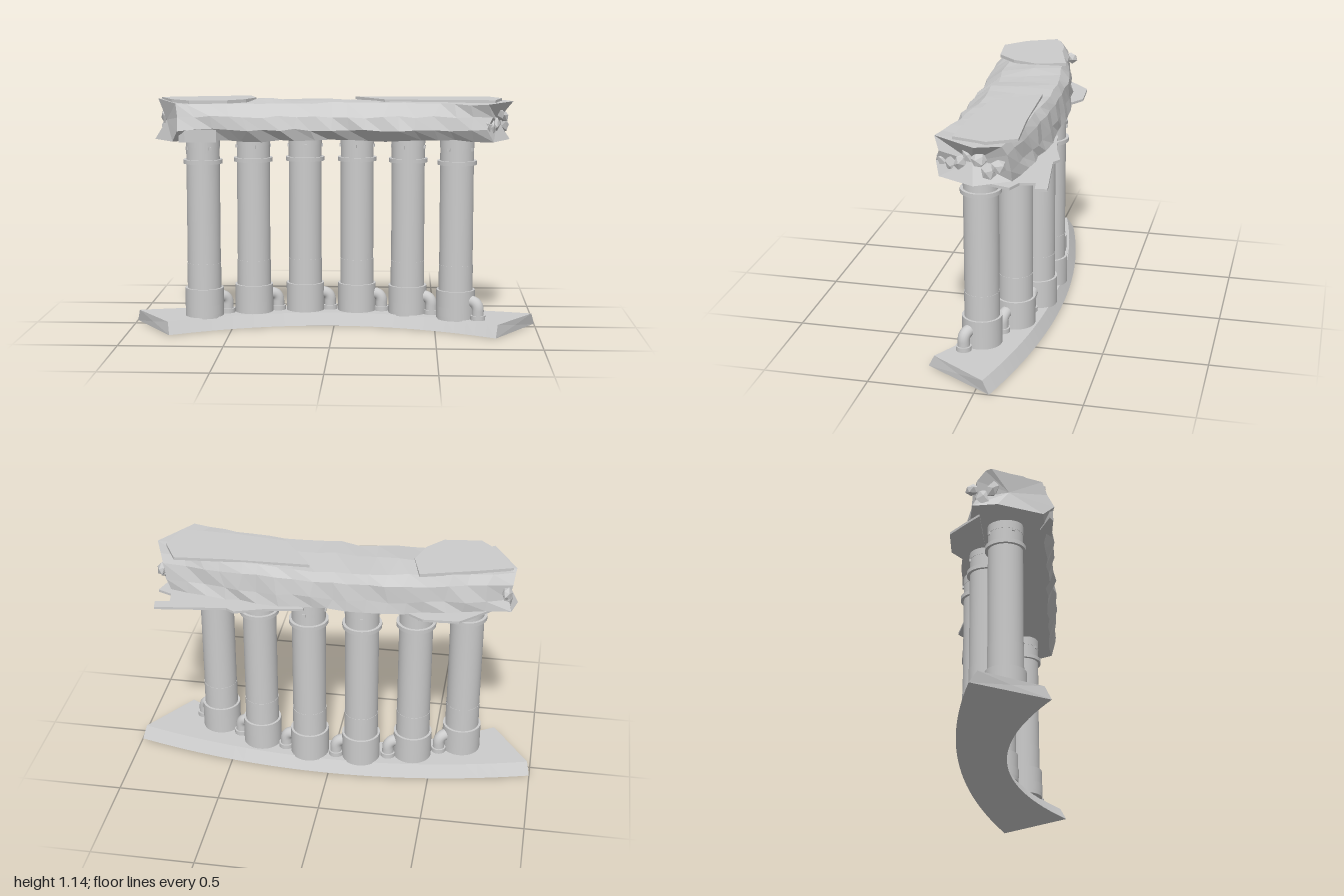
import * as THREE from 'three';

const grey = new THREE.MeshStandardMaterial({ color: 0xcccccc });
const rough = new THREE.MeshStandardMaterial({ color: 0xcccccc, flatShading: true, side: THREE.DoubleSide });

function add(parent, name, geometry, material = grey) {
  const mesh = new THREE.Mesh(geometry, material);
  mesh.name = name;
  parent.add(mesh);
  return mesh;
}

function seeded(seed) {
  return () => {
    seed = (seed * 16807) % 2147483647;
    return seed / 2147483647 - 0.5;
  };
}

// Skin over closed rings of [x, y, z] that advance along +x, with fan caps
function loft(rings) {
  const n = rings[0].length;
  const points = rings.flat();
  const index = [];
  for (let i = 0; i < rings.length - 1; i++) {
    for (let j = 0; j < n; j++) {
      const a = i * n + j, b = i * n + (j + 1) % n;
      index.push(a, a + n, b, b, a + n, b + n);
    }
  }
  for (const end of [0, rings.length - 1]) {
    const ring = rings[end];
    const middle = [0, 1, 2].map(k => ring.reduce((sum, p) => sum + p[k], 0) / n);
    const c = points.push(middle) - 1;
    for (let j = 0; j < n; j++) {
      const a = end * n + j, b = end * n + (j + 1) % n;
      index.push(...(end ? [c, b, a] : [c, a, b]));
    }
  }
  const geometry = new THREE.BufferGeometry();
  geometry.setAttribute('position', new THREE.Float32BufferAttribute(points.flat(), 3));
  geometry.setIndex(index);
  const flat = geometry.toNonIndexed();
  flat.computeVertexNormals();
  return flat;
}

// Curved plinth with sloping front and back
function plinth() {
  const rings = [];
  for (let i = 0; i <= 32; i++) {
    const t = i / 16 - 1;
    const front = 0.02 + 0.25 * t * t, back = -0.21 + 0.14 * t * t;
    rings.push([
      [0.79 * t, 0, front], [0.8 * t, 0.06, front - 0.03],
      [0.985 * t, 0.06, back + 0.035], [t, 0, back],
    ]);
  }
  return loft(rings);
}

// One column, its local +z facing the inside of the curve
function column() {
  const group = new THREE.Group();
  const drum = (name, r, y0, y1) =>
    add(group, name, new THREE.CylinderGeometry(r, r, y1 - y0, 40)).position.y = (y0 + y1) / 2;
  drum('columnFoot', 0.095, 0.055, 0.2);
  drum('lowerShaft', 0.0835, 0.2, 0.325);
  drum('upperShaft', 0.082, 0.325, 0.9);
  drum('columnRing', 0.096, 0.818, 0.838);
  drum('columnHead', 0.0835, 0.9, 0.96);

  // Small studs below the head
  for (let k = 0; k < 4; k++) {
    const a = k * Math.PI / 2;
    const stud = add(group, 'stud', new THREE.BoxGeometry(0.014, 0.016, 0.01));
    stud.position.set(0.083 * Math.sin(a), 0.895, 0.083 * Math.cos(a));
    stud.rotation.y = a;
  }

  // Curved access plate on the foot
  const plate = add(group, 'footPlate',
    new THREE.CylinderGeometry(0.098, 0.098, 0.045, 12, 1, true, -0.5, 1.0),
    new THREE.MeshStandardMaterial({ color: 0xcccccc, side: THREE.DoubleSide }));
  plate.position.y = 0.098;

  // Elbow pipe rising from the plinth into the foot
  const path = new THREE.CurvePath();
  const v = (x, y) => new THREE.Vector3(x, y, 0);
  path.add(new THREE.LineCurve3(v(0.125, 0.055), v(0.125, 0.105)));
  path.add(new THREE.QuadraticBezierCurve3(v(0.125, 0.105), v(0.125, 0.145), v(0.085, 0.147)));
  path.add(new THREE.LineCurve3(v(0.085, 0.147), v(0.05, 0.147)));
  add(group, 'elbowPipe', new THREE.TubeGeometry(path, 24, 0.029, 16));
  const flange = add(group, 'pipeFlange', new THREE.CylinderGeometry(0.037, 0.037, 0.025, 20));
  flange.position.set(0.125, 0.07, 0);
  return group;
}

// Broken stone beam: a straight front, bowed back and slanting ragged ends
function beam() {
  const rand = seeded(77);
  const rings = [];
  const count = 18;
  for (let i = 0; i <= count; i++) {
    const x = -0.88 + 1.74 * i / count;
    const front = 0.26 - 0.028 * x;
    const back = -0.2 + (x < 0 ? 0.17 : 0.09) * x * x;
    const lip = 0.15 + 0.1 * x * x;
    const profile = [
      [front - 0.035, 0.945], [front, 1.0], [front - 0.02, 1.06], [lip, 1.122],
      [0.02, 1.13], [back + 0.05, 1.122], [back + 0.02, 1.08], [back + 0.01, 1.0],
      [back, 0.945], [0.03, 0.94],
    ];
    rings.push(profile.map(([z, y]) => {
      const taper = 1 - 0.65 * Math.max(z - 0.02, 0) - 0.6 * Math.max(-z, 0);
      return [x * taper + 0.03 * rand(), y + 0.012 * rand(), z + 0.022 * rand()];
    }));
  }
  return loft(rings);
}

// Flat flake from an outline of [x, z] corners, its top at height y
function flake(parent, name, y, thickness, outline) {
  const shape = new THREE.Shape(outline.map(([x, z]) => new THREE.Vector2(x, z)));
  const geometry = new THREE.ExtrudeGeometry(shape, { depth: thickness, bevelEnabled: false });
  geometry.rotateX(Math.PI / 2);
  add(parent, name, geometry, rough).position.y = y;
}

export function createModel() {
  const model = new THREE.Group();
  model.name = 'colonnade';
  add(model, 'plinth', plinth(), rough);

  // Six columns along an arc
  for (let i = 0; i < 6; i++) {
    const angle = (i - 2.5) * 0.212;
    const pillar = column();
    pillar.name = 'column';
    pillar.position.set(-0.02 + 1.23 * Math.sin(angle), 0, 1.12 - 1.23 * Math.cos(angle));
    pillar.rotation.y = -angle;
    model.add(pillar);
  }

  const stone = new THREE.Group();
  stone.name = 'brokenBeam';
  model.add(stone);
  add(stone, 'beamBody', beam(), rough);

  // Thin flakes split off the underside and top
  flake(stone, 'backRightFlake', 0.94, 0.012, [[0.1, -0.1], [0.12, -0.2], [0.3, -0.23],
    [0.44, -0.275], [0.48, -0.25], [0.82, -0.295], [0.83, -0.24], [0.76, -0.23], [0.77, -0.16],
    [0.84, -0.13], [0.8, 0]]);
  flake(stone, 'backLeftFlake', 0.945, 0.012, [[-0.78, -0.05], [-0.7, -0.13], [-0.62, -0.205],
    [-0.45, -0.215], [-0.38, -0.17], [-0.4, -0.05]]);
  flake(stone, 'topLeftFlake', 1.138, 0.016, [[-0.85, 0.0], [-0.7, -0.05], [-0.42, -0.13],
    [-0.38, 0.02], [-0.42, 0.14], [-0.5, 0.23], [-0.68, 0.25], [-0.78, 0.15]]);
  flake(stone, 'topRightFlake', 1.136, 0.014, [[0.1, -0.12], [0.5, -0.13], [0.75, -0.15],
    [0.82, -0.02], [0.78, 0.14], [0.5, 0.13], [0.25, 0.1]]);

  // Upright shards at both ragged ends and the front left corner
  const rand = seeded(5);
  for (const side of [-1, 1]) {
    for (let k = 0; k < 7; k++) {
      const z = -0.08 + 0.045 * k;
      const shard = add(stone, 'endShard', new THREE.IcosahedronGeometry(0.04, 0), rough);
      shard.scale.set(0.6, 1.3 + rand(), 0.9);
      shard.position.set(side * (0.83 - 0.5 * Math.max(z, 0)), 1.03 + 0.09 * rand(), z);
      shard.rotation.set(rand(), side * 0.4, rand());
    }
  }
  flake(stone, 'cornerFlake', 1.0, 0.06, [[-0.73, 0.27], [-0.7, 0.285], [-0.55, 0.27], [-0.62, 0.22]]);
  return model;
}
